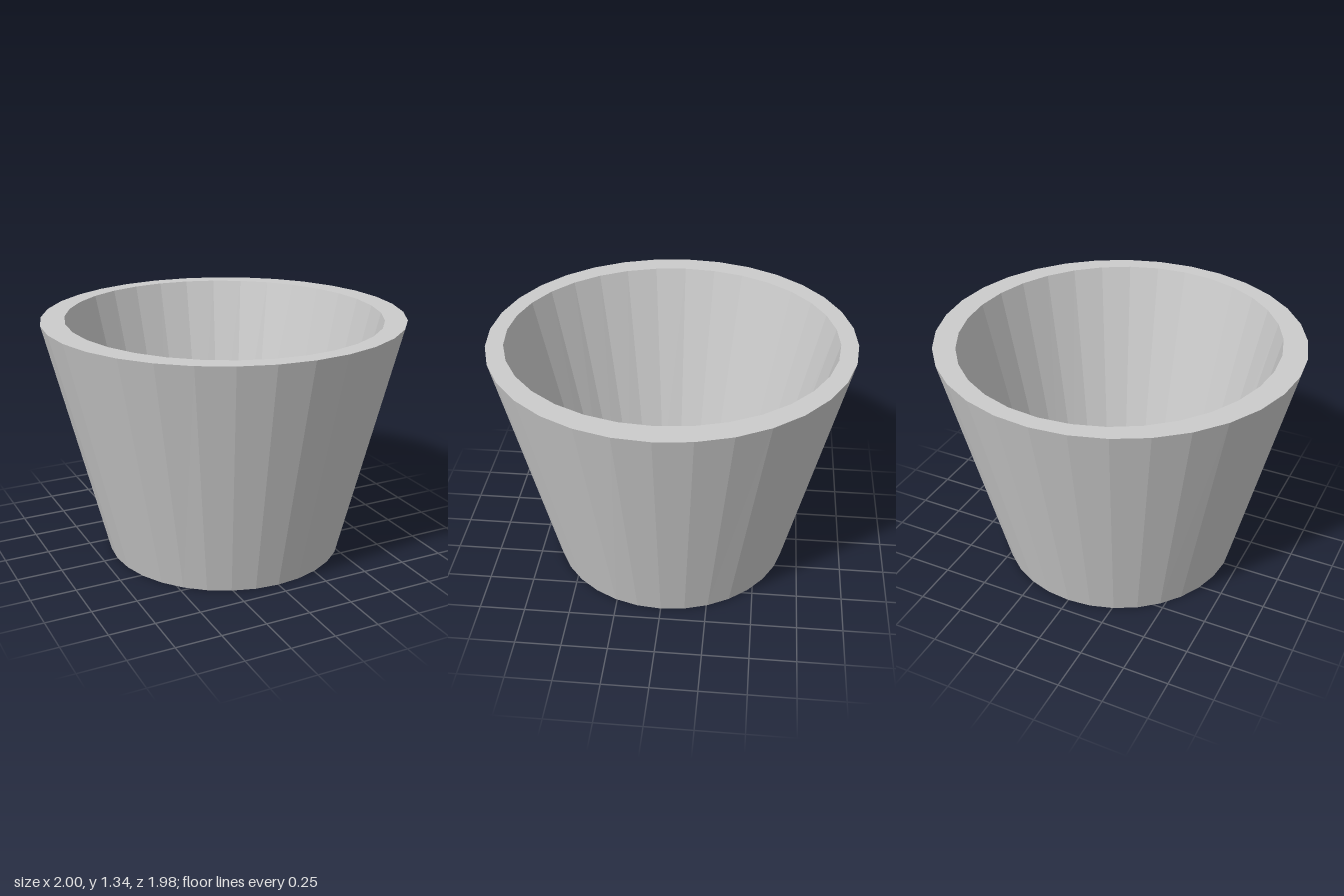
import * as THREE from 'three';

const SIDES = 32;
const HEIGHT = 1.342;
const FLOOR = 0.1;

// Faceted skin through a list of elliptical rings { rx, rz, y }
function ringSkin(rings) {
  const pos = [];
  const point = (r, i) => {
    const a = (i / SIDES) * Math.PI * 2;
    return [r.rx * Math.sin(a), r.y, r.rz * Math.cos(a)];
  };
  for (let k = 0; k < rings.length - 1; k++) {
    const p = rings[k], q = rings[k + 1];
    for (let i = 0; i < SIDES; i++) {
      const a = point(p, i), b = point(p, i + 1), c = point(q, i + 1), d = point(q, i);
      if (p.rx > 0) pos.push(...a, ...b, ...c);
      if (q.rx > 0) pos.push(...a, ...c, ...d);
      else if (p.rx === 0) continue;
    }
  }
  const g = new THREE.BufferGeometry();
  g.setAttribute('position', new THREE.Float32BufferAttribute(pos, 3));
  g.computeVertexNormals();
  return g;
}

export function createModel() {
  const group = new THREE.Group();
  group.name = 'pot';
  const material = new THREE.MeshStandardMaterial({ color: 0xcccccc, flatShading: true });

  const centre = (y) => ({ rx: 0, rz: 0, y });
  const outerBase = { rx: 0.671, rz: 0.671, y: 0 };
  const outerTop = { rx: 1, rz: 0.992, y: HEIGHT };
  // The opening is slightly oval at the top and round at the floor
  const innerTop = { rx: 0.866, rz: 0.898, y: HEIGHT };
  const innerFloor = { rx: 0.578, rz: 0.578, y: FLOOR };

  const parts = {
    base: [centre(0), outerBase],
    outerWall: [outerBase, outerTop],
    rim: [outerTop, innerTop],
    innerWall: [innerTop, innerFloor],
    innerFloor: [innerFloor, centre(FLOOR)],
  };
  for (const [name, rings] of Object.entries(parts)) {
    const mesh = new THREE.Mesh(ringSkin(rings), material);
    mesh.name = name;
    group.add(mesh);
  }
  return group;
}
